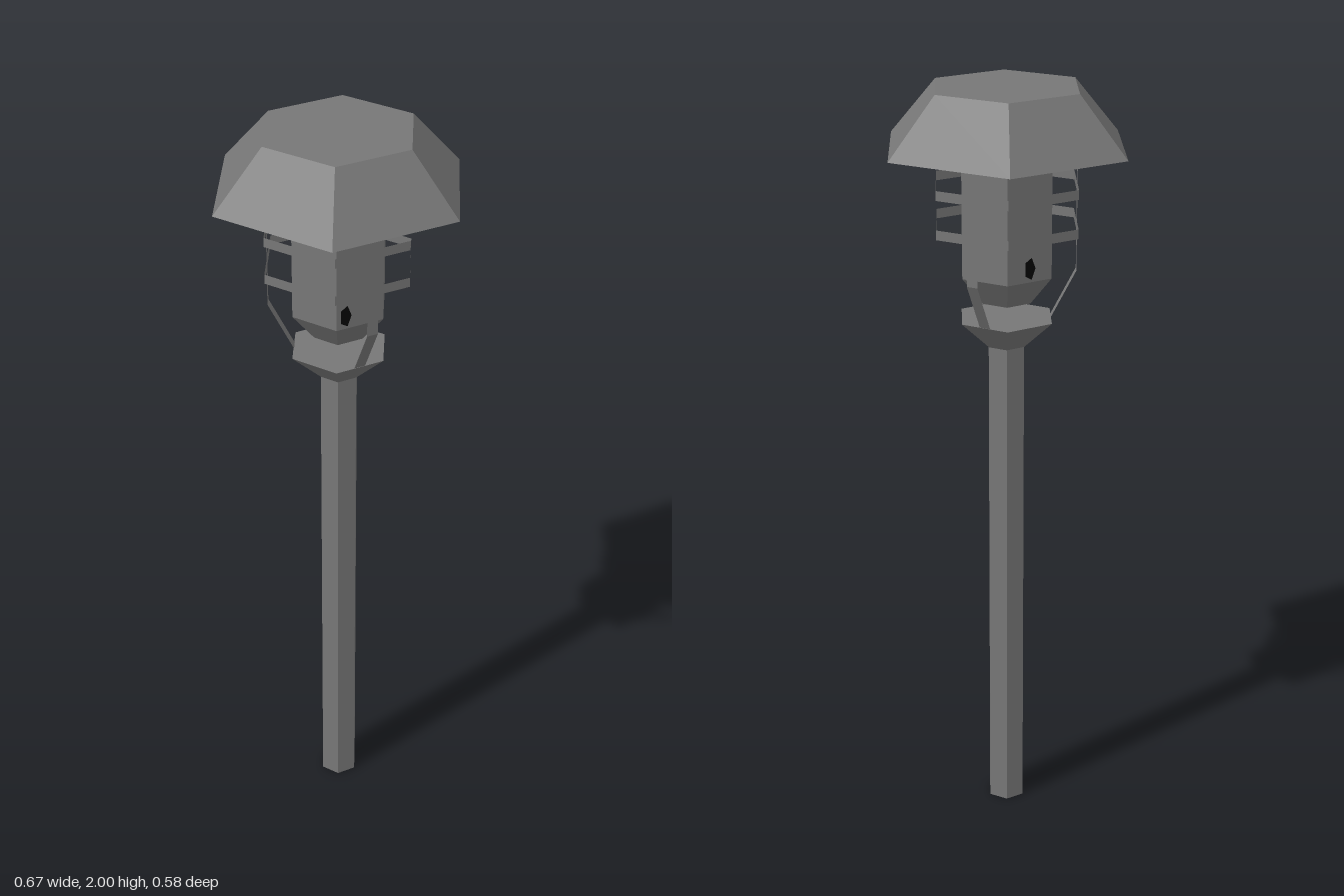
import * as THREE from 'three';

const metal = new THREE.MeshStandardMaterial({ color: 0x777777, flatShading: true, side: THREE.DoubleSide });
metal.name = 'greyMetal';
const soot = new THREE.MeshStandardMaterial({ color: 0x050505, flatShading: true, side: THREE.DoubleSide });
soot.name = 'sootBlack';

// Six-sided shell from a [radius, height] profile running bottom to top, corners on the x axis
function hexShell(name, profile) {
  const points = profile.map(([r, y]) => new THREE.Vector2(r, y));
  const mesh = new THREE.Mesh(new THREE.LatheGeometry(points, 6, Math.PI / 6), metal);
  mesh.name = name;
  return mesh;
}

// Flat strip bent along a [distance from axis, height] path
function strip(name, width, path) {
  const geo = new THREE.PlaneGeometry(width, 1, 1, path.length - 1);
  const pos = geo.attributes.position;
  for (let i = 0; i < pos.count; i++) {
    const [r, y] = path[Math.floor(i / 2)];
    pos.setY(i, y);
    pos.setZ(i, r);
  }
  geo.computeVertexNormals();
  const mesh = new THREE.Mesh(geo, metal);
  mesh.name = name;
  return mesh;
}

export function createModel() {
  const model = new THREE.Group();
  model.name = 'gardenLamp';

  // Hollow post, and the cup that carries the cage
  model.add(hexShell('post', [[0.052, 0], [0.052, 1.33]]));
  model.add(hexShell('cup', [[0, 1.33], [0.052, 1.33], [0.132, 1.405], [0, 1.405]]));

  // Lamp body with a tapered foot, open below
  model.add(hexShell('lampBody', [[0.07, 1.45], [0.13, 1.525], [0.13, 1.84]]));

  // Small dark marks low on the front and back faces of the lamp
  for (const [x, side] of [[-0.04, 1], [0, -1]]) {
    const mark = new THREE.Mesh(new THREE.CircleGeometry(1, 5), soot);
    mark.name = 'sootMark';
    mark.scale.set(0.016, 0.03, 1);
    mark.position.set(x, 1.56, side * 0.1136);
    if (side < 0) mark.rotation.y = Math.PI;
    model.add(mark);
  }

  // Roof with a shallow underside
  model.add(hexShell('roof', [[0, 1.835], [0.16, 1.835], [0.336, 1.85], [0.203, 2], [0, 2]]));

  // Cage: two thin hexagonal bands
  for (const y of [1.65, 1.75]) {
    const band = new THREE.Mesh(new THREE.CylinderGeometry(0.204, 0.204, 0.025, 6, 1, true, Math.PI / 6), metal);
    band.name = 'cageBand';
    band.position.y = y;
    model.add(band);
  }

  // Cage: three bent strips from the roof to the cup rim
  for (let i = 0; i < 3; i++) {
    const strut = strip('cageStrut', 0.03, [[0.178, 1.84], [0.178, 1.53], [0.113, 1.405]]);
    strut.rotation.y = i * Math.PI * 2 / 3;
    model.add(strut);
  }
  return model;
}
